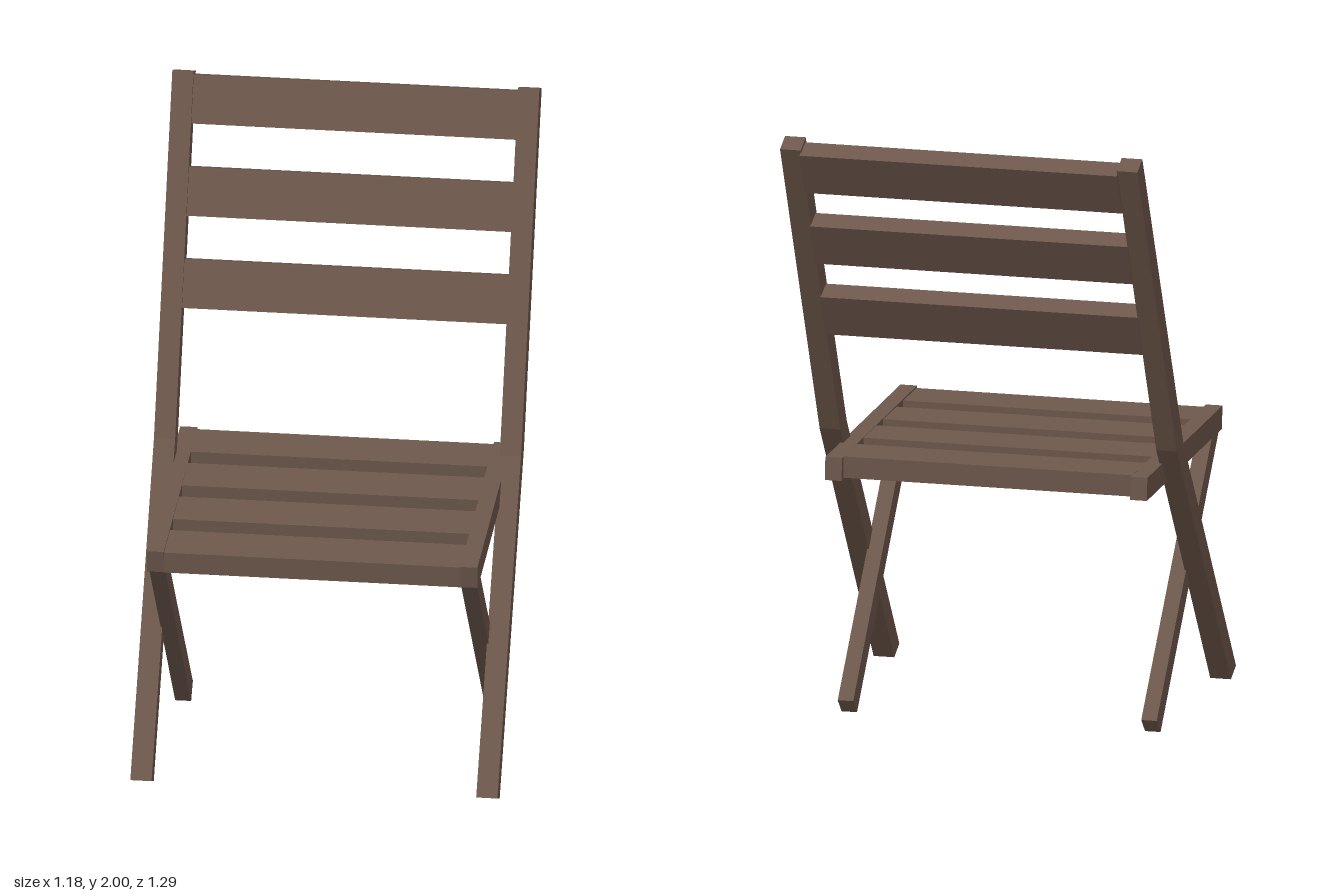
import * as THREE from 'three';

const wood = new THREE.MeshStandardMaterial({ color: 0x6e584c, flatShading: true });

// Bar with a side profile of [z, y] points, running from x0 to x1
function bar(name, profile, x0, x1) {
  const shape = new THREE.Shape(profile.map(([z, y]) => new THREE.Vector2(z, y)));
  const geo = new THREE.ExtrudeGeometry(shape, { depth: x1 - x0, bevelEnabled: false });
  geo.rotateY(-Math.PI / 2).translate(x1, 0, 0);
  const mesh = new THREE.Mesh(geo, wood);
  mesh.name = name;
  return mesh;
}

// Same bar on both sides
function pair(group, name, profile, x0, x1) {
  group.add(bar(name + 'Left', profile, x0, x1), bar(name + 'Right', profile, -x1, -x0));
}

export function createModel() {
  const chair = new THREE.Group();
  chair.name = 'foldingChair';

  // Long bent posts: front foot up to the top of the back
  pair(chair, 'backPost', [
    [0.593, 0.05], [0.53, 0.02], [-0.143, 0.934],
    [-0.636, 1.972], [-0.573, 2], [-0.063, 0.945],
  ], 0.52, 0.588);

  // Crossing legs: seat front down to the rear foot
  pair(chair, 'crossLeg', [
    [0.635, 0.83], [0.55, 0.83], [-0.156, 0.048], [-0.108, 0],
  ], 0.474, 0.525);

  // Seat side rails
  pair(chair, 'seatRail', [
    [0.645, 0.887], [0.637, 0.812], [-0.298, 0.806], [-0.291, 0.88],
  ], 0.475, 0.53);

  // Seat slats
  for (let i = 0; i < 4; i++) {
    const z = 0.637 - i * 0.248;
    chair.add(bar('seatSlat' + (i + 1), [
      [z, 0.881], [z, 0.811], [z - 0.167, 0.811], [z - 0.167, 0.881],
    ], -0.476, 0.476));
  }

  // Leaning back slats
  for (let i = 0; i < 3; i++) {
    const y = -i * 0.264, z = i * 0.129;
    chair.add(bar('backSlat' + (i + 1), [
      [-0.578, 1.985], [-0.51, 1.845], [-0.576, 1.818], [-0.645, 1.957],
    ].map(([pz, py]) => [pz + z, py + y]), -0.522, 0.522));
  }

  return chair;
}
